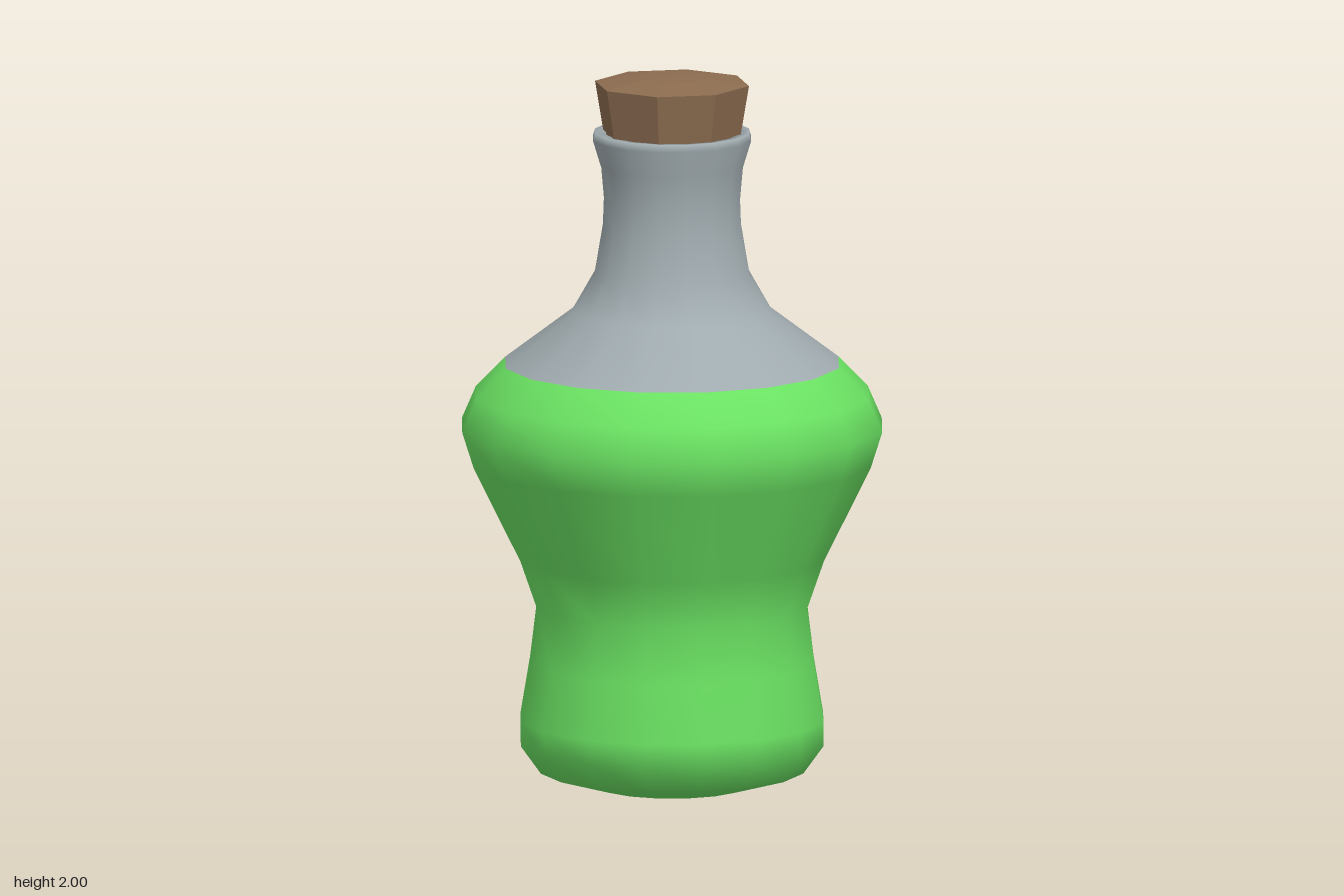
import * as THREE from 'three';

const points = (list) => list.map(([r, y]) => new THREE.Vector2(r, y));

// Keep only the triangles of a geometry whose centre height passes a test
function keepFaces(geometry, test) {
  const part = geometry.clone();
  const pos = part.attributes.position;
  const old = part.index.array;
  const kept = [];
  for (let i = 0; i < old.length; i += 3) {
    const [a, b, c] = [old[i], old[i + 1], old[i + 2]];
    if (test((pos.getY(a) + pos.getY(b) + pos.getY(c)) / 3)) kept.push(a, b, c);
  }
  part.setIndex(kept);
  return part;
}

export function createModel() {
  const group = new THREE.Group();
  const add = (name, geometry, color, options = {}) => {
    const mesh = new THREE.Mesh(geometry, new THREE.MeshStandardMaterial({ color, ...options }));
    mesh.name = name;
    group.add(mesh);
  };

  // Bottle profile from the base centre up to the lip and into the mouth
  const fillLevel = 1.2;
  const bottle = new THREE.LatheGeometry(points([
    [0, 0.005], [0.21, 0.022], [0.367, 0.067], [0.423, 0.145], [0.423, 0.21],
    [0.396, 0.37], [0.377, 0.525], [0.424, 0.66], [0.555, 0.925], [0.587, 1.025],
    [0.548, 1.115], [0.466, fillLevel], [0.275, 1.345], [0.215, 1.45],
    [0.193, 1.58], [0.19, 1.66], [0.198, 1.75], [0.221, 1.825], [0.215, 1.845],
    [0.185, 1.842], [0.165, 1.79],
  ]), 16);

  // Filled body below the liquid level, clear glass above it
  add('liquidBody', keepFaces(bottle, (y) => y < fillLevel), 0x6ae162);
  add('glassNeck', keepFaces(bottle, (y) => y > fillLevel), 0xa0abaf, { side: THREE.DoubleSide });

  // Faceted, tapered cork with a slightly domed top
  const cork = new THREE.LatheGeometry(points([
    [0, 1.7], [0.168, 1.7], [0.215, 1.978], [0.1, 1.996], [0, 2],
  ]), 8);
  add('cork', cork, 0x8c6c50, { flatShading: true });

  return group;
}
